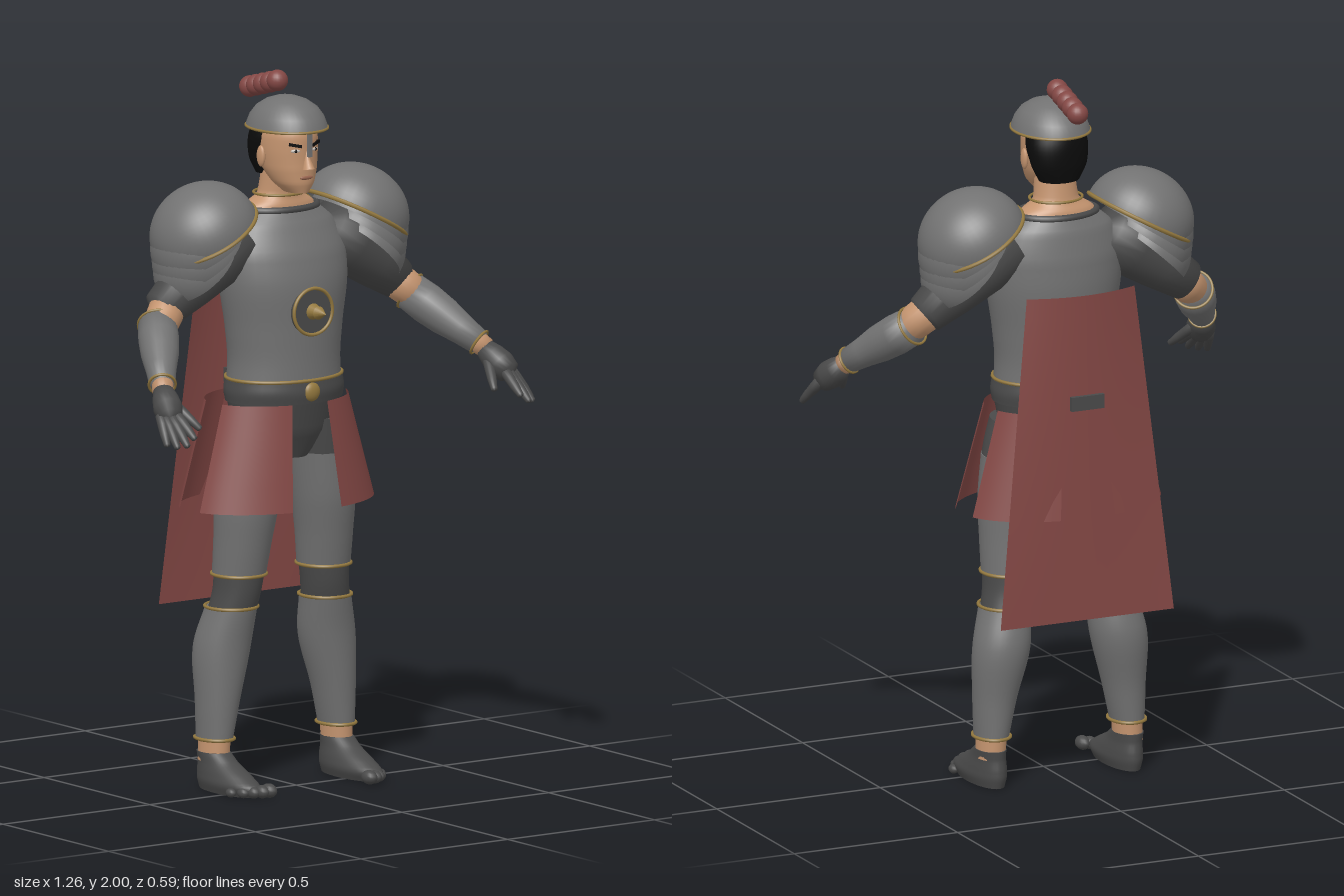
import * as THREE from 'three';

const mat = (name, color, side = THREE.FrontSide) => {
  const m = new THREE.MeshStandardMaterial({ color, side });
  m.name = name;
  return m;
};
const steel = mat('steel', 0x727272, THREE.DoubleSide);
const cloth = mat('darkCloth', 0x4a4a4a);
const skin = mat('skin', 0xc4946f);
const gold = mat('gold', 0x94793f);
const red = mat('redCloth', 0x844845, THREE.DoubleSide);
const hair = mat('hair', 0x0b0b0b);
const lip = mat('lips', 0x9a6650);
const eyeWhite = mat('eyeWhite', 0xc8c0b8);

const V = (x, y, z) => new THREE.Vector3(x, y, z);

function add(parent, name, geo, material, x = 0, y = 0, z = 0) {
  const m = new THREE.Mesh(geo, material);
  m.name = name;
  m.position.set(x, y, z);
  parent.add(m);
  return m;
}

// Smooth capped body through horizontal ellipses, rows [y, cx, cz, rx, rz] from low to high
function loft(rows, s = 1, seg = 36) {
  const a = new THREE.CatmullRomCurve3(rows.map(r => V(r[0], r[1] * s, r[2])));
  const b = new THREE.CatmullRomCurve3(rows.map(r => V(r[3], r[4], 0)));
  const n = (rows.length - 1) * 5, rings = [];
  for (let i = 0; i <= n; i++) {
    const p = a.getPoint(i / n), q = b.getPoint(i / n);
    rings.push([p.x, p.y, p.z, q.x, q.y]);
  }
  const f = rings[0], l = rings[n];
  rings.unshift([f[0], f[1], f[2], 0, 0], f);
  rings.push(l, [l[0], l[1], l[2], 0, 0]);
  const pos = [], idx = [];
  rings.forEach(([y, cx, cz, rx, rz], i) => {
    for (let j = 0; j < seg; j++) {
      const t = j / seg * Math.PI * 2, k = (j + 1) % seg;
      pos.push(cx + rx * Math.sin(t), y, cz + rz * Math.cos(t));
      if (i < rings.length - 1) {
        const A = i * seg + j, B = i * seg + k;
        idx.push(A, B, B + seg, A, B + seg, A + seg);
      }
    }
  });
  const g = new THREE.BufferGeometry();
  g.setAttribute('position', new THREE.Float32BufferAttribute(pos, 3));
  g.setIndex(idx);
  g.computeVertexNormals();
  return g;
}

// Round limb from a to b, radii spread evenly along it
function limb(parent, name, material, a, b, radii) {
  const len = a.distanceTo(b), n = radii.length - 1;
  const pts = [new THREE.Vector2(0, -radii[0] * 0.3)];
  radii.forEach((r, i) => pts.push(new THREE.Vector2(r, len * i / n)));
  pts.push(new THREE.Vector2(0, len + radii[n] * 0.5));
  const m = add(parent, name, new THREE.LatheGeometry(pts, 20), material, a.x, a.y, a.z);
  m.quaternion.setFromUnitVectors(V(0, 1, 0), b.clone().sub(a).normalize());
  return m;
}

// Thin elliptical trim
function ring(rx, rz, t = 0.005) {
  const pts = [];
  for (let i = 0; i < 24; i++) {
    const a = i / 24 * Math.PI * 2;
    pts.push(V(rx * Math.sin(a), 0, rz * Math.cos(a)));
  }
  return new THREE.TubeGeometry(new THREE.CatmullRomCurve3(pts, true), 48, t, 6, true);
}

// Flared skirt panel between two angles measured from the front
function panel(a0, a1) {
  const g = new THREE.PlaneGeometry(1, 1, 12, 4), p = g.attributes.position;
  for (let i = 0; i < p.count; i++) {
    const a = a0 + (p.getX(i) + 0.5) * (a1 - a0), t = 0.5 - p.getY(i);
    p.setXYZ(i, (0.215 + 0.085 * t) * Math.sin(a), 1.085 - 0.295 * t, -0.095 + (0.165 + 0.037 * t) * Math.cos(a));
  }
  g.computeVertexNormals();
  return g;
}

function buildHead(g) {
  add(g, 'neck', loft([[1.57, 0, -0.085, 0.14, 0.075], [1.63, 0, -0.085, 0.108, 0.066],
    [1.66, 0, -0.08, 0.065, 0.056], [1.73, 0, -0.07, 0.056, 0.056]]), skin);
  add(g, 'head', loft([[1.672, 0, -0.003, 0.03, 0.045], [1.7, 0, -0.018, 0.056, 0.068], [1.74, 0, -0.035, 0.073, 0.086],
    [1.79, 0, -0.045, 0.08, 0.096], [1.83, 0, -0.05, 0.08, 0.102], [1.88, 0, -0.05, 0.062, 0.08]]), skin);
  add(g, 'hair', loft([[1.715, 0, -0.1, 0.058, 0.046], [1.76, 0, -0.1, 0.081, 0.056],
    [1.82, 0, -0.085, 0.089, 0.072], [1.88, 0, -0.07, 0.072, 0.072]]), hair);
  const nose = add(g, 'nose', new THREE.ConeGeometry(0.017, 0.055, 12), skin, 0, 1.769, 0.053);
  nose.scale.z = 1.2;
  nose.rotation.x = -0.15;
  add(g, 'mouth', new THREE.SphereGeometry(1, 16, 8), lip, 0, 1.717, 0.048).scale.set(0.022, 0.006, 0.005);
  for (const s of [-1, 1]) {
    add(g, 'ear', new THREE.SphereGeometry(1, 12, 10), skin, s * 0.083, 1.772, -0.052).scale.set(0.009, 0.03, 0.017);
    const eye = add(g, 'eye', new THREE.SphereGeometry(1, 12, 8), eyeWhite, s * 0.033, 1.794, 0.042);
    eye.scale.set(0.014, 0.005, 0.004);
    eye.rotation.y = s * 0.4;
    add(g, 'pupil', new THREE.SphereGeometry(0.005, 8, 6), hair, s * 0.033, 1.794, 0.043);
    const brow = add(g, 'brow', new THREE.BoxGeometry(0.036, 0.008, 0.008), hair, s * 0.034, 1.81, 0.043);
    brow.rotation.set(0, s * 0.4, s * 0.2);
  }

  // Helmet bowl, trim and nose guard
  const bowl = [[0.107, -0.004], [0.104, 0.008], [0.096, 0.03], [0.08, 0.053], [0.055, 0.071], [0.028, 0.081], [0, 0.084]];
  add(g, 'helmet', new THREE.LatheGeometry(bowl.map(p => new THREE.Vector2(...p)), 40), steel, 0, 1.852, -0.045).scale.z = 1.2;
  add(g, 'helmetTrim', ring(0.106, 0.127, 0.004), gold, 0, 1.849, -0.045);
  add(g, 'noseGuard', new THREE.BoxGeometry(0.013, 0.085, 0.009), steel, 0, 1.82, 0.063);
  for (let i = 0; i < 5; i++)
    add(g, 'crestBead', new THREE.SphereGeometry(0.03, 20, 14), red, 0, 1.97 - i * 0.009, -0.09 - i * 0.0325);
}

function buildTorso(g) {
  add(g, 'cuirass', loft([[1.13, 0, -0.06, 0.172, 0.132], [1.2, 0, -0.06, 0.168, 0.131], [1.3, 0, -0.061, 0.178, 0.133],
    [1.42, 0, -0.064, 0.197, 0.137], [1.5, 0, -0.07, 0.198, 0.127], [1.58, 0, -0.08, 0.165, 0.102],
    [1.62, 0, -0.083, 0.118, 0.083]]), steel);
  add(g, 'collar', ring(0.116, 0.082, 0.01), cloth, 0, 1.62, -0.083);
  add(g, 'collarTrim', ring(0.075, 0.066, 0.004), gold, 0, 1.66, -0.08);
  add(g, 'cuirassTrim', ring(0.174, 0.134), gold, 0, 1.15, -0.06);
  add(g, 'belt', loft([[1.085, 0, -0.06, 0.176, 0.134], [1.115, 0, -0.06, 0.18, 0.139], [1.145, 0, -0.06, 0.176, 0.135]]), cloth);
  add(g, 'buckle', new THREE.SphereGeometry(0.027, 20, 14), gold, 0, 1.118, 0.072).scale.z = 0.55;
  add(g, 'beltLoop', new THREE.BoxGeometry(0.1, 0.04, 0.1), cloth, 0, 1.12, -0.24);
  add(g, 'hips', loft([[0.925, 0, -0.06, 0.06, 0.075], [1.0, 0, -0.06, 0.15, 0.108], [1.09, 0, -0.06, 0.172, 0.13]]), cloth);

  // Chest medallion
  add(g, 'medallion', new THREE.CylinderGeometry(0.066, 0.066, 0.014, 36), cloth, 0, 1.345, 0.073).rotation.x = Math.PI / 2;
  add(g, 'medallionRim', new THREE.TorusGeometry(0.065, 0.005, 8, 40), gold, 0, 1.345, 0.08);
  add(g, 'medallionBoss', new THREE.CylinderGeometry(0.012, 0.024, 0.035, 16), gold, 0, 1.345, 0.095).rotation.x = Math.PI / 2;
  add(g, 'medallionSpike', new THREE.ConeGeometry(0.019, 0.035, 16), gold, 0, 1.345, 0.123).rotation.x = Math.PI / 2;

  // Cape, bowed forward at its upper edges
  const cape = new THREE.PlaneGeometry(2, 1, 16, 16), p = cape.attributes.position;
  for (let i = 0; i < p.count; i++) {
    const u = p.getX(i), t = 0.5 - p.getY(i);
    p.setXYZ(i, u * (0.165 + 0.1 * t), 1.425 - 0.93 * t, -0.275 - 0.008 * t + 0.035 * u * u * (1 - t));
  }
  cape.computeVertexNormals();
  add(g, 'cape', cape, red);
}

function buildArm(g, s) {
  const P = (x, y, z) => V(s * x, y, z);
  limb(g, 'sleeve', cloth, P(0.15, 1.55, -0.08), P(0.4, 1.37, -0.08), [0.085, 0.088, 0.075, 0.058]);
  limb(g, 'elbow', skin, P(0.375, 1.385, -0.08), P(0.45, 1.315, -0.035), [0.052, 0.05, 0.046]);
  const a = P(0.43, 1.335, -0.06), b = P(0.54, 1.205, 0.115);
  const bracer = limb(g, 'bracer', steel, a, b, [0.054, 0.057, 0.053, 0.043, 0.036]);
  add(bracer, 'bracerTopTrim', ring(0.054, 0.054, 0.004), gold);
  add(bracer, 'bracerEndTrim', ring(0.037, 0.037, 0.004), gold, 0, a.distanceTo(b), 0);
  limb(g, 'wrist', skin, P(0.535, 1.21, 0.11), P(0.55, 1.19, 0.132), [0.03, 0.03]);
  limb(g, 'palm', cloth, P(0.548, 1.19, 0.13), P(0.577, 1.13, 0.205), [0.028, 0.037, 0.041, 0.034]);
  const fingers = [
    [[0.597, 1.133, 0.187], [0.62, 1.062, 0.25]], [[0.588, 1.128, 0.2], [0.605, 1.058, 0.278]],
    [[0.575, 1.128, 0.21], [0.582, 1.062, 0.293]], [[0.56, 1.135, 0.21], [0.556, 1.08, 0.29]],
    [[0.54, 1.165, 0.155], [0.502, 1.095, 0.24]]];
  for (const [u, v] of fingers) limb(g, 'finger', cloth, P(...u), P(...v), [0.015, 0.0145, 0.013, 0.009]);

  // Pauldron dome over three overlapping plates: [x, y, radius, height, tilt]
  [[0.255, 1.57, 0.155, 0.14, 0.5], [0.267, 1.54, 0.145, 0.125, 0.58],
    [0.273, 1.505, 0.136, 0.12, 0.66], [0.28, 1.472, 0.126, 0.115, 0.74]].forEach(([x, y, r, h, tilt], i) => {
    const geo = new THREE.SphereGeometry(1, 40, 16, 0, Math.PI * 2, 0, Math.PI / 2);
    geo.scale(r, h, r);
    const m = add(g, i ? 'shoulderPlate' : 'pauldron', geo, steel, s * x, y, -0.08);
    m.rotation.z = -s * tilt;
    if (!i) add(m, 'pauldronTrim', ring(r, r, 0.006), gold);
  });
}

function buildLeg(g, s) {
  add(g, 'shorts', loft([[0.92, 0.116, -0.055, 0.09, 0.1], [0.97, 0.106, -0.055, 0.089, 0.104], [1.03, 0.093, -0.055, 0.084, 0.108]], s), cloth);
  add(g, 'thighPlate', loft([[0.6, 0.144, -0.072, 0.074, 0.077], [0.7, 0.138, -0.062, 0.08, 0.085],
    [0.8, 0.13, -0.055, 0.088, 0.095], [0.93, 0.115, -0.055, 0.091, 0.101]], s), steel);
  add(g, 'thighTrim', ring(0.075, 0.078), gold, s * 0.144, 0.602, -0.072);
  add(g, 'knee', loft([[0.48, 0.163, -0.088, 0.067, 0.07], [0.55, 0.15, -0.075, 0.066, 0.071], [0.62, 0.143, -0.07, 0.07, 0.073]], s), cloth);
  add(g, 'greave', loft([[0.145, 0.207, -0.1, 0.047, 0.061], [0.25, 0.197, -0.1, 0.061, 0.067],
    [0.4, 0.178, -0.105, 0.081, 0.08], [0.51, 0.16, -0.086, 0.071, 0.075]], s), steel);
  add(g, 'greaveTopTrim', ring(0.072, 0.076), gold, s * 0.16, 0.51, -0.086);
  add(g, 'greaveEndTrim', ring(0.05, 0.063), gold, s * 0.207, 0.142, -0.1);
  add(g, 'ankle', loft([[0.08, 0.21, -0.1, 0.04, 0.052], [0.15, 0.207, -0.1, 0.04, 0.053]], s), skin);

  // Foot with five toes, turned slightly outward
  add(g, 'foot', loft([[0, 0.208, -0.035, 0.045, 0.12], [0.025, 0.208, -0.03, 0.053, 0.132], [0.05, 0.208, -0.05, 0.05, 0.112],
    [0.08, 0.209, -0.08, 0.043, 0.077], [0.105, 0.21, -0.1, 0.041, 0.058]], s), cloth);
  for (let i = 0; i < 5; i++) {
    const r = 0.02 - i * 0.0018;
    add(g, 'toe', new THREE.SphereGeometry(r, 14, 10), cloth, s * (0.171 + i * 0.021), r, 0.108 - i * i * 0.004).scale.z = 1.4;
  }
  add(g, 'frontSkirtPanel', panel(s * 0.28, s * 1.35), red);
  add(g, 'backSkirtPanel', panel(s * 1.85, s * 2.86), red);
}

export function createModel() {
  const model = new THREE.Group();
  model.name = 'armouredSoldier';
  const part = name => {
    const g = new THREE.Group();
    g.name = name;
    model.add(g);
    return g;
  };
  buildHead(part('headAndHelmet'));
  buildTorso(part('torso'));
  for (const s of [1, -1]) {
    const side = s > 0 ? 'left' : 'right';
    buildArm(part(side + 'Arm'), s);
    buildLeg(part(side + 'Leg'), s);
  }
  return model;
}
